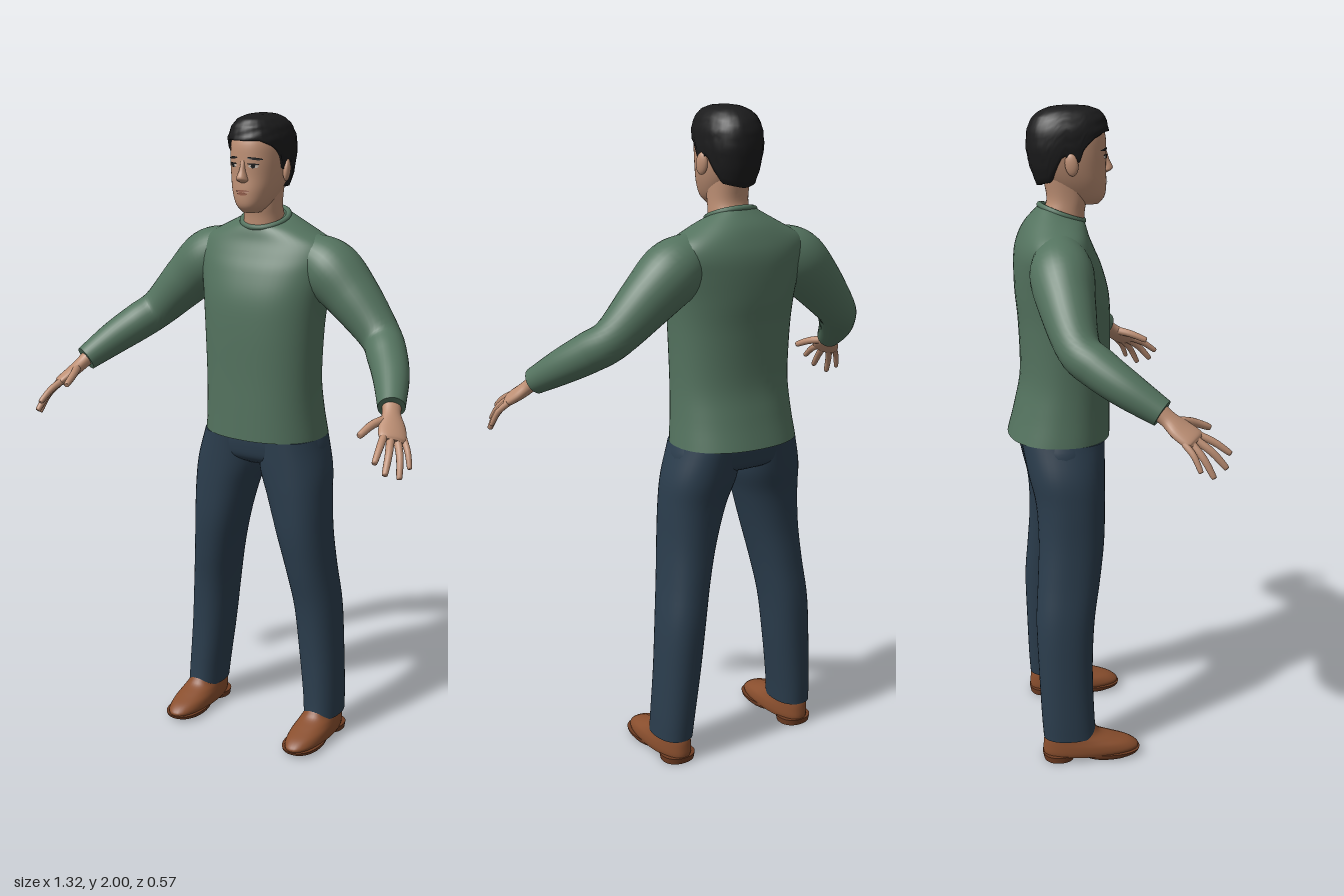
import * as THREE from 'three';

const V = (x, y, z) => new THREE.Vector3(x, y, z);
const mat = (name, color) => Object.assign(new THREE.MeshStandardMaterial({ color }), { name });
const N = 2.25; // roundness of the upright cross-sections
const pow = (c, n) => Math.sign(c) * Math.abs(c) ** (2 / n);

// Closed surface through rings of points, with flat end caps
function skin(rows) {
  const n = rows[0].length, m = rows.length, pos = [], idx = [];
  rows.forEach(r => r.forEach(p => pos.push(p.x, p.y, p.z)));
  for (let i = 0; i < m - 1; i++) for (let j = 0; j < n; j++) {
    const a = i * n + j, b = i * n + (j + 1) % n;
    idx.push(a, a + n, b, b, a + n, b + n);
  }
  [rows[0], rows[m - 1]].forEach((r, end) => {
    const s = pos.length / 3, c = V(0, 0, 0);
    r.forEach(p => { pos.push(p.x, p.y, p.z); c.addScaledVector(p, 1 / n); });
    pos.push(c.x, c.y, c.z);
    for (let j = 0; j < n; j++) {
      const k = s + (j + 1) % n;
      end ? idx.push(s + j, s + n, k) : idx.push(s + j, k, s + n);
    }
  });
  const g = new THREE.BufferGeometry();
  g.setAttribute('position', new THREE.Float32BufferAttribute(pos, 3));
  g.setIndex(idx);
  g.computeVertexNormals();
  return g;
}

const curve = pts => new THREE.CatmullRomCurve3(pts, false, 'catmullrom', 0.5);

// Upright loft, bottom to top: [y, front z, back z, half width, centre x, tilt]
function upright(st, sides = 40, per = 5) {
  const c = curve(st.map(s => V(s[4] || 0, s[0], (s[1] + s[2]) / 2)));
  const r = curve(st.map(s => V(s[3], (s[1] - s[2]) / 2, s[5] || 0)));
  const m = (st.length - 1) * per, rows = [];
  for (let i = 0; i <= m; i++) {
    const p = c.getPoint(i / m), q = r.getPoint(i / m), row = [];
    for (let j = 0; j < sides; j++) {
      const a = j / sides * Math.PI * 2, z = pow(Math.sin(a), N);
      row.push(V(p.x + q.x * pow(Math.cos(a), N), p.y - q.z * z, p.z + q.y * z));
    }
    rows.push(row);
  }
  return skin(rows);
}

// Loft along a bent path: [x, y, z, radius along wide, radius across]
function limb(st, wide, sides = 24, per = 6) {
  const c = curve(st.map(s => V(s[0], s[1], s[2])));
  const r = curve(st.map(s => V(s[3], s[4] ?? s[3], 0)));
  const m = (st.length - 1) * per, rows = [];
  for (let i = 0; i <= m; i++) {
    const p = c.getPoint(i / m), q = r.getPoint(i / m), t = c.getTangent(i / m);
    const s = wide.clone().addScaledVector(t, -wide.dot(t)).normalize();
    const w = s.clone().cross(t), row = [];
    for (let j = 0; j < sides; j++) {
      const a = j / sides * Math.PI * 2;
      row.push(p.clone().addScaledVector(s, q.x * Math.cos(a)).addScaledVector(w, q.y * Math.sin(a)));
    }
    rows.push(row);
  }
  return skin(rows);
}

// Piecewise linear lookup of a row in a table keyed by its first column
function lookup(table, x) {
  let i = 0;
  while (i < table.length - 2 && x > table[i + 1][0]) i++;
  const a = table[i], b = table[i + 1];
  const k = THREE.MathUtils.clamp((x - a[0]) / (b[0] - a[0]), 0, 1);
  return a.map((v, j) => v + (b[j] - v) * k);
}

function mirrored(g) {
  const m = g.clone().scale(-1, 1, 1), ix = m.index.array;
  for (let i = 0; i < ix.length; i += 3) [ix[i], ix[i + 1]] = [ix[i + 1], ix[i]];
  m.computeVertexNormals();
  return m;
}

const HEAD = [[1.712, 0, -0.08, 0.026], [1.735, 0.018, -0.11, 0.048], [1.775, 0.023, -0.15, 0.066],
  [1.82, 0.021, -0.18, 0.077], [1.87, 0.022, -0.2, 0.082], [1.92, 0.018, -0.2, 0.08],
  [1.96, -0.005, -0.185, 0.066], [1.985, -0.05, -0.15, 0.035]];
const HAIR = [[1.765, 0, -0.182, 0.066], [1.82, 0.02, -0.203, 0.083], [1.88, 0.027, -0.215, 0.091],
  [1.93, 0.03, -0.212, 0.09], [1.965, 0.02, -0.196, 0.077], [1.985, 0.002, -0.17, 0.058],
  [1.996, -0.03, -0.14, 0.034], [2, -0.08, -0.09, 0.004]];
const HAIRLINE = [[0, 1.925], [0.6, 1.925], [1, 1.908], [1.25, 1.885], [1.4, 1.835], [1.55, 1.84],
  [1.7, 1.865], [1.95, 1.82], [2.2, 1.782], [3.15, 1.768]];

// Short hair cap, trimmed along the hairline and slightly tousled
function hairCap() {
  const rows = [], n = 64, m = 20;
  for (let i = -1; i <= m; i++) {
    const row = [];
    for (let j = 0; j < n; j++) {
      const a = j / n * Math.PI * 2, cx = Math.cos(a), cz = Math.sin(a);
      const low = lookup(HAIRLINE, Math.acos(cz))[1];
      const y = low + (2 - low) * Math.sin(Math.max(i, 0) / m * Math.PI / 2);
      const [, f, b, w] = lookup(HAIR, y);
      const k = i < 0 ? 0.86 : 1 + 0.014 * Math.sin(a * 13 + y * 90) * Math.sin(a * 7 - y * 140);
      row.push(V(k * w * pow(cx, N), y, (f + b) / 2 + k * (f - b) / 2 * pow(cz, N)));
    }
    rows.push(row);
  }
  return skin(rows);
}

// Thin oval laid on the face
function facePatch(x, y, rx, ry, tilt = 0, lift = 0.003) {
  const g = new THREE.CircleGeometry(1, 20).scale(rx, ry, 1).rotateZ(tilt).translate(x, y, 0);
  const p = g.attributes.position;
  for (let i = 0; i < p.count; i++) {
    const [, f, b, w] = lookup(HEAD, p.getY(i));
    const k = Math.max(0, 1 - (Math.abs(p.getX(i)) / w) ** N) ** (1 / N);
    p.setZ(i, (f + b) / 2 + (f - b) / 2 * k + lift);
  }
  g.computeVertexNormals();
  return g;
}

export function createModel() {
  const model = new THREE.Group();
  model.name = 'standingMan';
  const sweater = mat('green sweater', 0x54735f), trousers = mat('navy trousers', 0x2b3d4d);
  const leather = mat('brown leather', 0x8a4f2e), sole = mat('dark sole', 0x6e3c22);
  const skinTone = mat('skin', 0xbd8f74), hair = mat('black hair', 0x1b1b1c);
  const lip = mat('lips', 0x99624f), eyeWhite = mat('eye white', 0xc9bdb3);
  const add = (name, geo, m) => {
    const mesh = new THREE.Mesh(geo, m);
    mesh.name = name;
    model.add(mesh);
  };
  const pair = (name, geo, m) => {
    add(name + 'Left', geo, m);
    add(name + 'Right', mirrored(geo), m);
  };

  // Sweater
  add('sweaterBody', upright([[1.01, 0.03, -0.283, 0.2], [1.1, 0.03, -0.26, 0.192], [1.2, 0.03, -0.242, 0.189],
    [1.35, 0.032, -0.245, 0.195], [1.45, 0.027, -0.254, 0.205], [1.53, 0.006, -0.256, 0.222],
    [1.58, -0.015, -0.252, 0.232], [1.62, -0.032, -0.24, 0.215], [1.655, -0.04, -0.22, 0.152, 0, 0.006],
    [1.68, -0.045, -0.19, 0.098, 0, 0.017], [1.69, -0.05, -0.174, 0.07, 0, 0.024]], 56), sweater);
  const ring = [];
  for (let j = 0; j < 16; j++) {
    const a = j / 16 * Math.PI * 2;
    ring.push(V(0.073 * Math.cos(a), 1.687 - 0.024 * Math.sin(a), -0.111 + 0.065 * Math.sin(a)));
  }
  add('collar', new THREE.TubeGeometry(new THREE.CatmullRomCurve3(ring, true), 48, 0.009, 10, true), sweater);
  pair('sleeve', limb([[0.13, 1.585, -0.13, 0.07], [0.215, 1.54, -0.135, 0.093], [0.3, 1.465, -0.13, 0.082],
    [0.4, 1.365, -0.11, 0.063], [0.45, 1.32, -0.06, 0.06], [0.5, 1.272, 0.01, 0.053],
    [0.548, 1.215, 0.1, 0.04]], V(0, 1, 0), 32), sweater);

  // Trousers
  add('hips', upright([[0.915, -0.05, -0.17, 0.12], [0.94, -0.01, -0.23, 0.2], [0.98, 0.002, -0.25, 0.208],
    [1.03, 0.005, -0.262, 0.192]]), trousers);
  pair('trouserLeg', upright([[0.075, -0.04, -0.205, 0.058, 0.228], [0.15, -0.045, -0.21, 0.061, 0.223],
    [0.3, -0.048, -0.216, 0.067, 0.209], [0.45, -0.04, -0.22, 0.071, 0.195], [0.58, -0.02, -0.212, 0.075, 0.175],
    [0.7, -0.005, -0.206, 0.085, 0.155], [0.82, 0, -0.212, 0.1, 0.135], [0.91, 0.002, -0.232, 0.111, 0.116],
    [1.01, 0.004, -0.25, 0.098, 0.1]]), trousers);

  // Shoes
  pair('shoe', upright([[0.016, 0.094, -0.205, 0.056, 0.227], [0.03, 0.095, -0.207, 0.059, 0.227],
    [0.048, 0.07, -0.206, 0.058, 0.227], [0.065, 0.02, -0.204, 0.054, 0.227], [0.082, -0.025, -0.2, 0.05, 0.227],
    [0.105, -0.045, -0.197, 0.045, 0.227]]), leather);
  pair('soleFront', upright([[0.002, 0.075, -0.08, 0.053, 0.227], [0.01, 0.095, -0.088, 0.059, 0.227],
    [0.02, 0.1, -0.09, 0.061, 0.227]], 32, 3), sole);
  pair('shoeHeel', upright([[0, -0.11, -0.205, 0.052, 0.227], [0.02, -0.105, -0.209, 0.055, 0.227]], 32, 2), sole);

  // Hands
  const across = V(0.06, -0.02, -0.06);
  pair('palm', limb([[0.542, 1.225, 0.085, 0.03, 0.024], [0.556, 1.2, 0.115, 0.028, 0.021],
    [0.574, 1.175, 0.145, 0.04, 0.019], [0.592, 1.152, 0.178, 0.042, 0.016],
    [0.598, 1.145, 0.188, 0.03, 0.009]], across), skinTone);
  const fingers = [
    ['thumb', [0.555, 1.193, 0.135], [0.532, 1.183, 0.185], [0.52, 1.163, 0.235], 0.012],
    ['indexFinger', [0.572, 1.16, 0.19], [0.583, 1.138, 0.238], [0.59, 1.108, 0.28], 0.0105],
    ['middleFinger', [0.588, 1.152, 0.182], [0.606, 1.117, 0.228], [0.615, 1.075, 0.265], 0.011],
    ['ringFinger', [0.602, 1.147, 0.168], [0.627, 1.107, 0.2], [0.64, 1.058, 0.226], 0.0105],
    ['littleFinger', [0.613, 1.146, 0.15], [0.637, 1.117, 0.172], [0.652, 1.078, 0.188], 0.009]];
  for (const [name, a, b, c, r] of fingers) {
    const tip = c.map((v, i) => v + (c[i] - b[i]) * 0.1);
    pair(name, limb([[...a, r * 1.1], [...b, r], [...c, r * 0.8], [...tip, r * 0.3]], across, 12, 4), skinTone);
  }

  // Head and neck
  add('neck', upright([[1.63, -0.045, -0.18, 0.066], [1.69, -0.042, -0.165, 0.06], [1.73, -0.035, -0.155, 0.058],
    [1.79, -0.03, -0.165, 0.06]]), skinTone);
  add('head', upright(HEAD, 48), skinTone);
  add('nose', upright([[1.802, 0.022, 0, 0.01], [1.81, 0.037, 0, 0.018], [1.819, 0.043, 0, 0.016],
    [1.84, 0.033, 0, 0.01], [1.868, 0.024, 0, 0.008]], 20), skinTone);
  pair('ear', new THREE.SphereGeometry(1, 20, 14).scale(0.011, 0.033, 0.02).rotateY(0.35).rotateX(-0.15)
    .translate(0.086, 1.835, -0.09), skinTone);
  add('hair', hairCap(), hair);

  // Face
  pair('eyeWhite', facePatch(0.034, 1.852, 0.014, 0.0055), eyeWhite);
  pair('iris', facePatch(0.034, 1.852, 0.0058, 0.0055, 0, 0.0045), hair);
  pair('eyelid', facePatch(0.034, 1.858, 0.0165, 0.0024, -0.05, 0.0045), hair);
  pair('eyebrow', facePatch(0.037, 1.874, 0.021, 0.0036, -0.12), hair);
  add('upperLip', facePatch(0, 1.778, 0.023, 0.0038), lip);
  add('lowerLip', facePatch(0, 1.77, 0.018, 0.0042), lip);

  return model;
}
